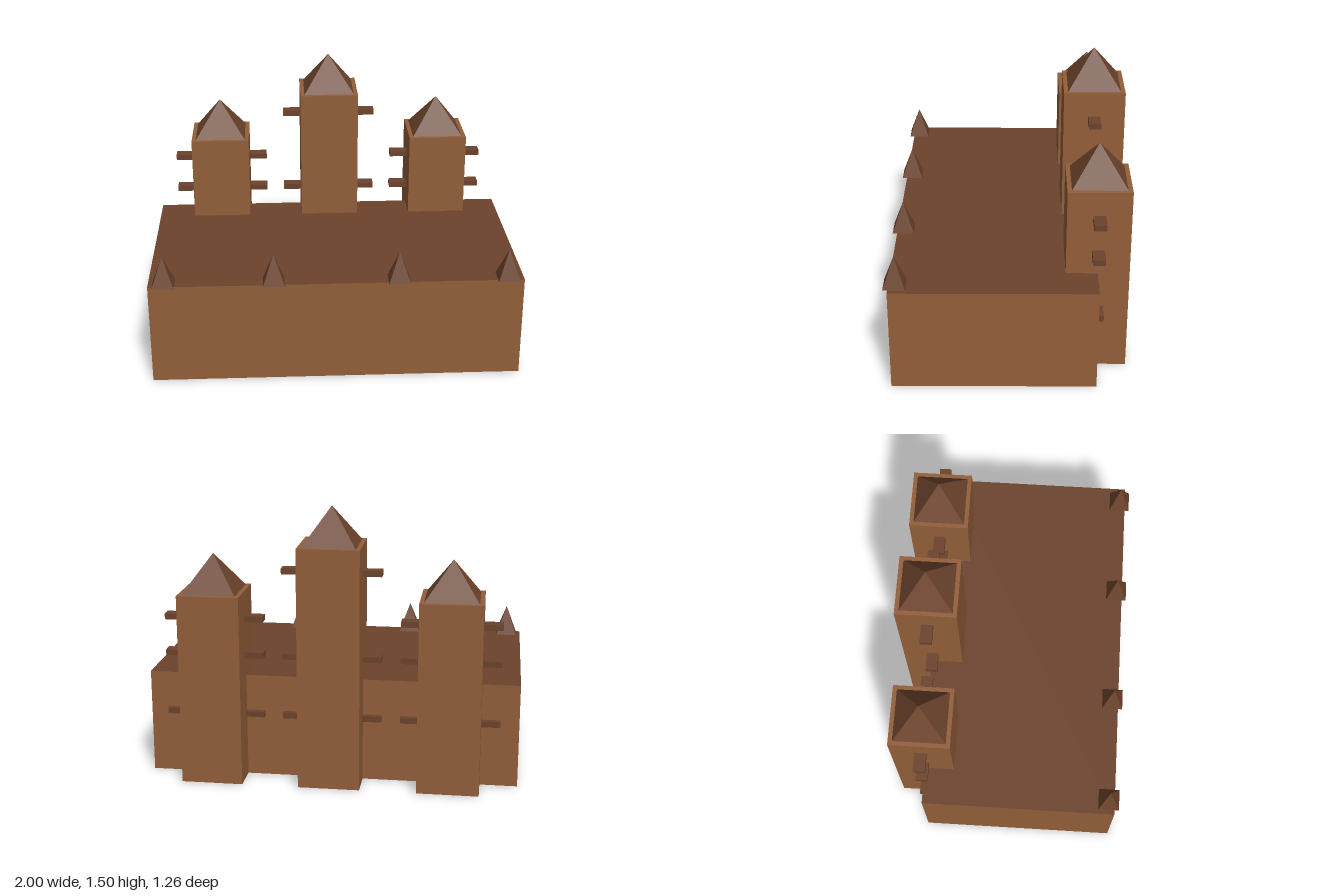
import * as THREE from 'three';

export function createModel() {
  const model = new THREE.Group();
  model.name = 'castle';

  const wall = new THREE.MeshStandardMaterial({ color: 0x935f3a });
  wall.name = 'wall brown';
  const dark = new THREE.MeshStandardMaterial({ color: 0x6c432c });
  dark.name = 'roof brown';

  const add = (parent, name, geometry, material, x, y, z) => {
    const mesh = new THREE.Mesh(geometry, material);
    mesh.name = name;
    mesh.position.set(x, y, z);
    parent.add(mesh);
    return mesh;
  };

  // Square pyramid standing on y = 0
  const pyramid = (side, height) =>
    new THREE.ConeGeometry(side / Math.SQRT2, height, 4, 1)
      .rotateY(Math.PI / 4)
      .translate(0, height / 2, 0)
      .toNonIndexed();
  const flat = (geometry) => {
    geometry.computeVertexNormals();
    return geometry;
  };

  // Main block: light walls, dark deck on top
  const baseHeight = 0.567;
  add(model, 'mainBlock', new THREE.BoxGeometry(2, baseHeight, 1.07),
    [wall, wall, dark, wall, wall, wall], 0, baseHeight / 2, 0.07);

  // Towers along the back, each with a roof and beams through its sides
  const towers = [
    { name: 'rightTower', x: -0.634, height: 1.035, beams: [0.355, 0.687, 0.887] },
    { name: 'middleTower', x: 0, height: 1.302, beams: [0.355, 0.687, 1.153] },
    { name: 'leftTower', x: 0.634, height: 1.035, beams: [0.355, 0.687, 0.887] },
  ];
  for (const t of towers) {
    const tower = new THREE.Group();
    tower.name = t.name;
    tower.position.set(t.x, 0, -0.465);
    add(tower, 'towerBody', new THREE.BoxGeometry(0.33, t.height, 0.33), wall, 0, t.height / 2, 0);
    add(tower, 'towerRoof', flat(pyramid(0.284, 0.2)), dark, 0, t.height, 0);
    for (const y of t.beams) {
      add(tower, 'beam', new THREE.BoxGeometry(0.533, 0.031, 0.065), dark, 0, y, 0);
    }
    model.add(tower);
  }

  // Small spikes along the front edge
  for (const x of [-0.918, -0.335, 0.332, 0.915]) {
    add(model, 'frontSpike', flat(pyramid(0.115, 0.165)), dark, x, baseHeight, 0.572);
  }

  return model;
}
